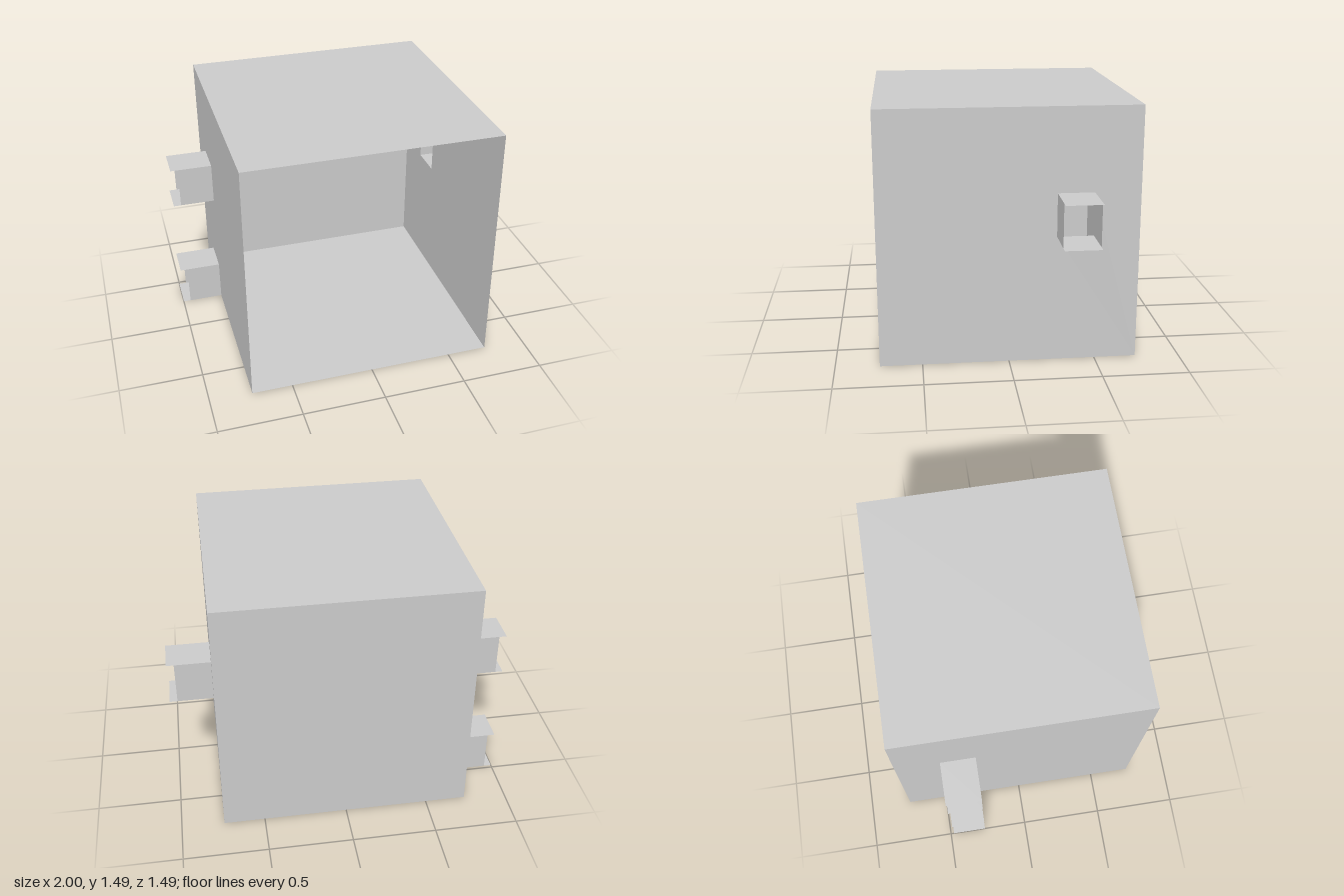
import * as THREE from 'three';

const H = 0.745;                  // half width of the box
const TOP = 2 * H;
const Z0 = -0.48, Z1 = -0.27;     // depth range of every port
const PORT_H = 0.253;
const UPPER_Y = 0.748, LOWER_Y = 0;
const CHEEK_X = 0.955, PLATE_X = 1; // outer ends of port cheeks and plates

const material = new THREE.MeshStandardMaterial({ color: 0xcccccc, side: THREE.DoubleSide, flatShading: true });

function add(parent, name, geometry) {
  const mesh = new THREE.Mesh(geometry, material);
  mesh.name = name;
  parent.add(mesh);
  return mesh;
}

// Thin horizontal sheet
function flat(parent, name, x0, x1, z0, z1, y) {
  const g = new THREE.PlaneGeometry(Math.abs(x1 - x0), z1 - z0).rotateX(-Math.PI / 2);
  add(parent, name, g).position.set((x0 + x1) / 2, y, (z0 + z1) / 2);
}

// Thin upright sheet facing along z
function upright(parent, name, x0, x1, y0, y1, z) {
  const g = new THREE.PlaneGeometry(Math.abs(x1 - x0), y1 - y0);
  add(parent, name, g).position.set((x0 + x1) / 2, (y0 + y1) / 2, z);
}

// Side wall drawn in (z, y), with a window and optionally a notch at the floor
function sideWall(parent, name, x, notched) {
  const outline = [[-H, 0]];
  if (notched) outline.push([Z0, 0], [Z0, PORT_H], [Z1, PORT_H], [Z1, 0]);
  outline.push([H, 0], [H, TOP], [-H, TOP]);
  const points = (list) => list.map(([z, y]) => new THREE.Vector2(z, y));
  const shape = new THREE.Shape(points(outline));
  const y1 = UPPER_Y + PORT_H;
  shape.holes.push(new THREE.Path(points([[Z0, UPPER_Y], [Z0, y1], [Z1, y1], [Z1, UPPER_Y]])));
  add(parent, name, new THREE.ShapeGeometry(shape).rotateY(-Math.PI / 2)).position.x = x;
}

// Open-ended port: two cheeks between slightly longer top and bottom plates
function port(parent, name, side, y) {
  const group = new THREE.Group();
  group.name = name;
  parent.add(group);
  flat(group, 'portBottom', side * H, side * PLATE_X, Z0, Z1, y);
  flat(group, 'portTop', side * H, side * PLATE_X, Z0, Z1, y + PORT_H);
  upright(group, 'portFrontCheek', side * H, side * CHEEK_X, y, y + PORT_H, Z1);
  upright(group, 'portBackCheek', side * H, side * CHEEK_X, y, y + PORT_H, Z0);
}

export function createModel() {
  const model = new THREE.Group();
  model.name = 'openBox';

  // Box shell, open at the front
  flat(model, 'floor', -H, H, -H, H, 0);
  flat(model, 'roof', -H, H, -H, H, TOP);
  upright(model, 'backWall', -H, H, 0, TOP, -H);
  sideWall(model, 'leftWall', H, false);
  sideWall(model, 'rightWall', -H, true);

  // Side ports
  port(model, 'leftPort', 1, UPPER_Y);
  port(model, 'rightUpperPort', -1, UPPER_Y);
  port(model, 'rightLowerPort', -1, LOWER_Y);

  return model;
}
